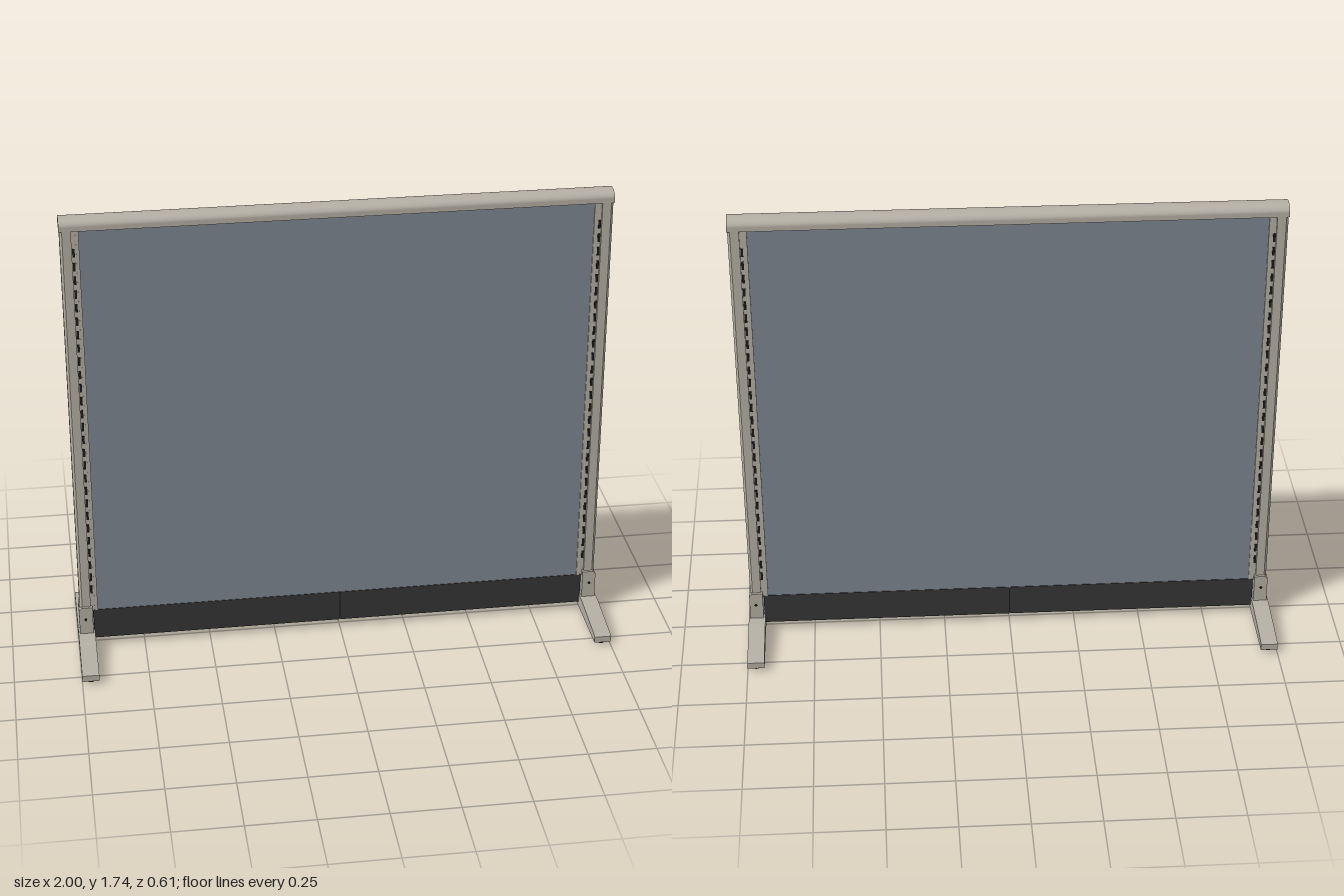
import * as THREE from 'three';

const mat = (name, color) => {
  const m = new THREE.MeshStandardMaterial({ color });
  m.name = name;
  return m;
};

export function createModel() {
  const frame = mat('warm grey frame', 0xb4afa4);
  const fabric = mat('blue grey fabric', 0x7d8690);
  const skirting = mat('charcoal skirting', 0x353535);
  const black = mat('black fittings', 0x1a1a1a);
  const model = new THREE.Group();
  model.name = 'partitionScreen';

  const add = (parent, name, geo, material, x = 0, y = 0, z = 0) => {
    const mesh = new THREE.Mesh(geo, material);
    mesh.name = name;
    mesh.position.set(x, y, z);
    parent.add(mesh);
    return mesh;
  };
  const box = (parent, name, w, h, d, material, x, y, z = 0) =>
    add(parent, name, new THREE.BoxGeometry(w, h, d), material, x, y, z);
  const polygon = pts => new THREE.Shape(pts.map(p => new THREE.Vector2(...p)));
  const extrude = (shape, depth) =>
    new THREE.ExtrudeGeometry(shape, { depth, bevelEnabled: false, curveSegments: 16 });

  // Fabric panel and the two skirting boards beneath it
  box(model, 'panel', 1.86, 1.56, 0.06, fabric, 0, 0.93);
  for (const s of [-1, 1]) box(model, 'skirtingBoard', 0.938, 0.122, 0.064, skirting, s * 0.471, 0.094);
  box(model, 'skirtingSeam', 0.006, 0.118, 0.06, black, 0, 0.094);

  // Domed top rail with end caps, extruded along x
  const dome = new THREE.Shape();
  dome.moveTo(-0.043, 1.7);
  dome.lineTo(0.043, 1.7);
  dome.lineTo(0.043, 1.717);
  dome.absellipse(0, 1.717, 0.043, 0.026, 0, Math.PI, false);
  dome.closePath();
  const rail = add(model, 'topRail', extrude(dome, 1.96), frame, -0.98);
  rail.rotation.y = Math.PI / 2;
  for (const s of [-1, 1]) {
    const cap = add(model, 'railEndCap', extrude(dome, 0.012), frame, s < 0 ? -0.992 : 0.98);
    cap.rotation.y = Math.PI / 2;
  }

  // Shared profiles: post in plan, foot from the side
  const postShape = polygon([
    [-0.02, -0.04], [0.012, -0.04], [0.021, -0.031],
    [0.021, 0.031], [0.012, 0.04], [-0.02, 0.04]
  ]);
  const footShape = polygon([
    [-0.305, 0.014], [0.305, 0.014], [0.305, 0.038], [0.295, 0.043],
    [0.09, 0.065], [-0.09, 0.065], [-0.295, 0.043], [-0.305, 0.038]
  ]);
  const bracketShape = polygon([
    [-0.025, 0.06], [0.026, 0.06], [0.026, 0.165], [0.016, 0.175], [-0.025, 0.175]
  ]);
  const slotGeo = new THREE.BoxGeometry(0.009, 0.032, 0.004);
  const slotCount = 27;

  for (const s of [-1, 1]) {
    const side = new THREE.Group();
    side.name = s > 0 ? 'leftSupport' : 'rightSupport';
    if (s < 0) side.rotation.y = Math.PI;
    model.add(side);

    // Upright post, slotted channel and panel edge trim
    const post = add(side, 'post', extrude(postShape, 1.64), frame, 0.969, 0.06);
    post.rotation.x = -Math.PI / 2;
    box(side, 'slottedChannel', 0.018, 1.55, 0.062, frame, 0.942, 0.925);
    box(side, 'panelTrim', 0.011, 1.55, 0.07, frame, 0.928, 0.93);

    // Shelf slots on both faces of the channel
    for (const z of [-1, 1])
      for (let i = 0; i < slotCount; i++)
        add(side, 'slot', slotGeo, black, 0.943, 0.245 + i * 1.37 / (slotCount - 1), z * 0.0315);

    // Bracket with screws
    add(side, 'bracket', extrude(bracketShape, 0.1), frame, 0.968, 0, -0.05);
    for (const z of [-1, 1]) {
      const screw = add(side, 'screw', new THREE.CylinderGeometry(0.005, 0.005, 0.006, 12), black, 0.97, 0.125, z * 0.05);
      screw.rotation.x = Math.PI / 2;
    }

    // Tapered foot with levelling pads
    const foot = add(side, 'foot', extrude(footShape, 0.063), frame, 0.937);
    foot.rotation.y = Math.PI / 2;
    for (const z of [-1, 1])
      add(side, 'levellingPad', new THREE.CylinderGeometry(0.014, 0.014, 0.016, 16), black, 0.968, 0.008, z * 0.275);
  }
  return model;
}
